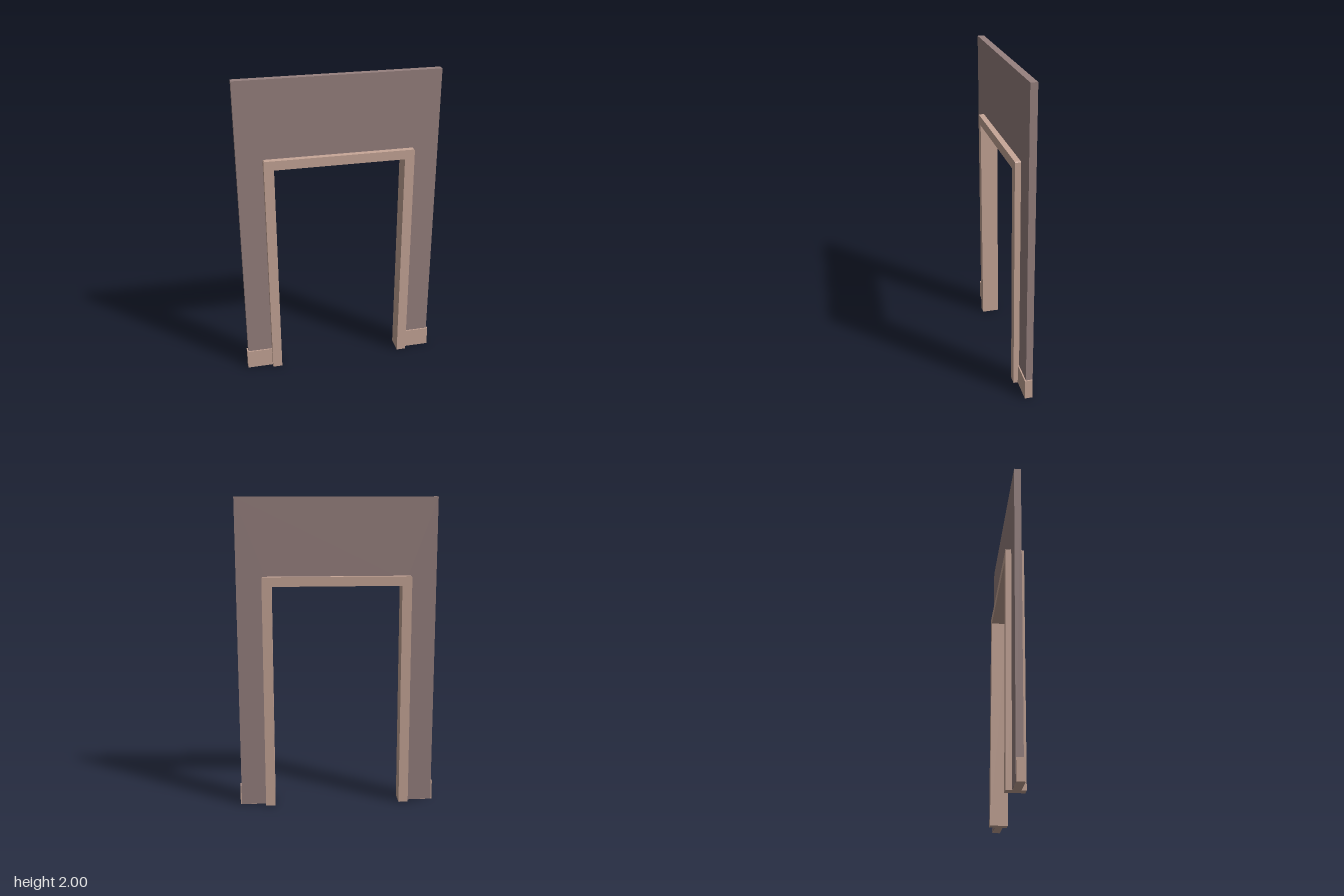
import * as THREE from 'three';

const wallPaint = new THREE.MeshStandardMaterial({ color: 0x97817f });
wallPaint.name = 'mauve wall';
const trimPaint = new THREE.MeshStandardMaterial({ color: 0xc8a798 });
trimPaint.name = 'pale trim';

// Upside-down U outline with an opening that reaches the floor, extruded from z0 to z1
function arch(name, material, outer, inner, bottom, top, innerTop, chamfer, z0, z1) {
  const shape = new THREE.Shape([
    [-outer, bottom], [-inner, bottom], [-inner, innerTop], [inner, innerTop], [inner, bottom], [outer, bottom],
    ...(chamfer
      ? [[outer, top - chamfer], [outer - chamfer, top], [chamfer - outer, top], [-outer, top - chamfer]]
      : [[outer, top], [-outer, top]]),
  ].map(([x, y]) => new THREE.Vector2(x, y)));
  const geometry = new THREE.ExtrudeGeometry(shape, { depth: z1 - z0, bevelEnabled: false });
  geometry.translate(0, 0, z0);
  const mesh = new THREE.Mesh(geometry, material);
  mesh.name = name;
  return mesh;
}

export function createModel() {
  const group = new THREE.Group();
  group.name = 'doorwayWall';

  // Wall panel, its opening hidden inside the door frame
  group.add(arch('wall', wallPaint, 0.632, 0.44, 0.002, 2, 1.48, 0, -0.022, 0.021));

  // Door frame standing proud on both sides
  group.add(arch('doorFrame', trimPaint, 0.472, 0.41, 0, 1.51, 1.45, 0.005, -0.057, 0.057));

  // Skirting boards on the front, wrapping the wall ends
  for (const side of [-1, 1]) {
    const board = new THREE.Mesh(new THREE.BoxGeometry(0.2, 0.13, 0.049), trimPaint);
    board.position.set(side * 0.54, 0.065, 0.0045);
    board.name = side > 0 ? 'leftSkirting' : 'rightSkirting';
    group.add(board);
  }
  return group;
}
